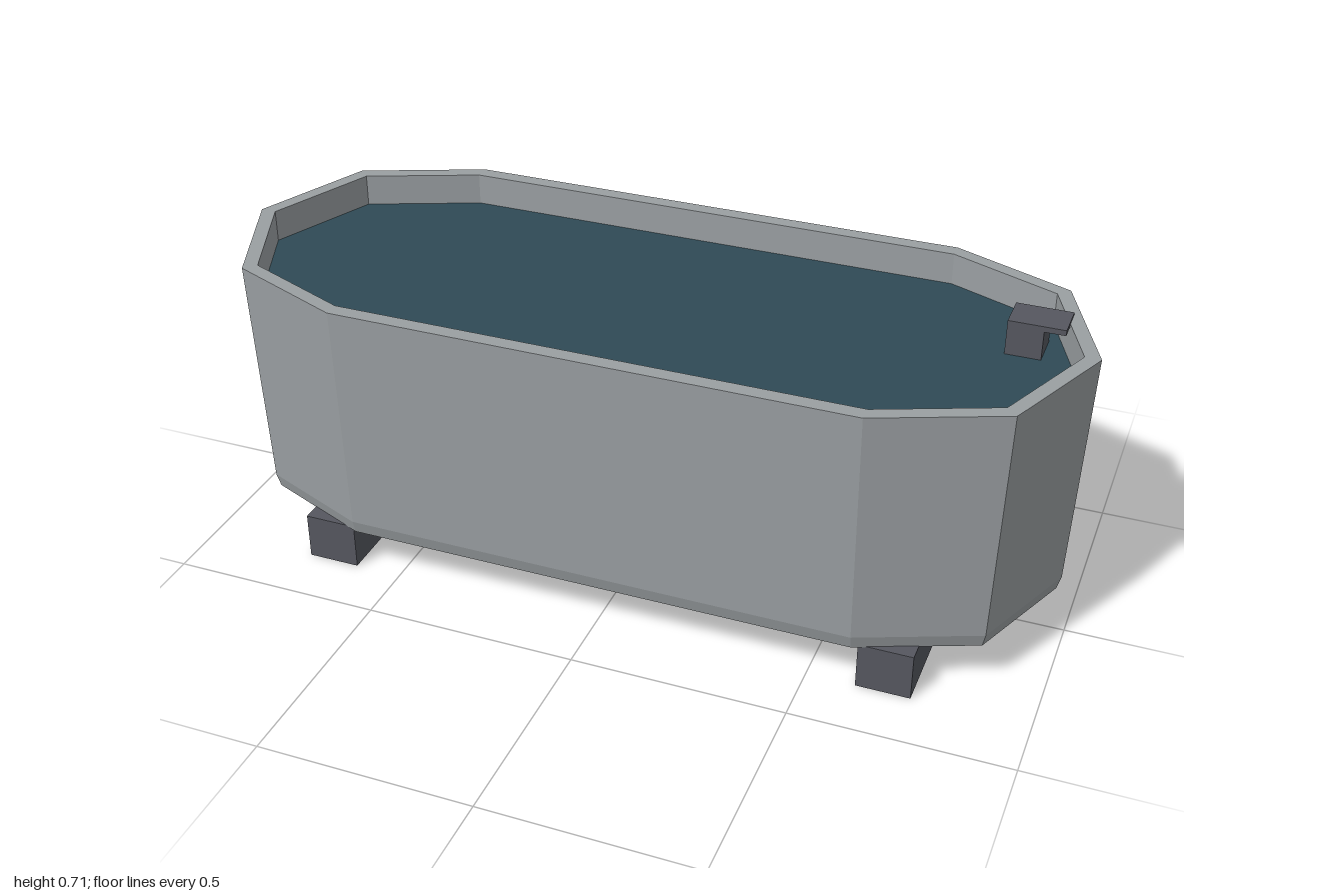
import * as THREE from 'three';

const material = (color) => new THREE.MeshStandardMaterial({ color, flatShading: true });

// Ten-sided stadium outline: two faceted half circles of radius r, centred at x = +-c
function outline(c, r, y) {
  const points = [];
  for (const side of [1, -1]) {
    for (let i = 0; i < 5; i++) {
      const a = -Math.PI / 2 + (i * Math.PI) / 4;
      points.push([side * (c + r * Math.cos(a)), y, side * r * Math.sin(a)]);
    }
  }
  return points;
}

// Skin a sequence of [c, r, y] outlines with flat faces
function loft(sections) {
  const rings = sections.map(([c, r, y]) => outline(c, r, y));
  const positions = [];
  for (let k = 0; k < rings.length - 1; k++) {
    const a = rings[k], b = rings[k + 1];
    const lowerIsPoint = sections[k][1] === 0, upperIsPoint = sections[k + 1][1] === 0;
    for (let i = 0; i < a.length; i++) {
      const j = (i + 1) % a.length;
      if (!lowerIsPoint) positions.push(...a[i], ...b[i], ...a[j]);
      if (!upperIsPoint) positions.push(...a[j], ...b[i], ...b[j]);
    }
  }
  const geometry = new THREE.BufferGeometry();
  geometry.setAttribute('position', new THREE.Float32BufferAttribute(positions, 3));
  geometry.computeVertexNormals();
  return geometry;
}

// Box given by its minimum and maximum corners
function box(min, max) {
  const size = max.map((v, i) => v - min[i]);
  return new THREE.BoxGeometry(...size).translate(...min.map((v, i) => v + size[i] / 2));
}

export function createModel() {
  const group = new THREE.Group();
  const add = (name, geometry, mat) => {
    const mesh = new THREE.Mesh(geometry, mat);
    mesh.name = name;
    group.add(mesh);
  };
  const wall = material(0x9a9fa2);
  const dark = material(0x55575f);
  const water = material(0x2f4a55);

  // Trough: underside, bevelled foot, flared wall, rim and inner wall
  add('trough', loft([
    [0, 0, 0.11],
    [0.6, 0.37, 0.11],
    [0.6, 0.379, 0.143],
    [0.6, 0.4, 0.706],
    [0.6, 0.364, 0.706],
    [0.6, 0.364, 0.61],
  ]), wall);

  // Water surface just below the rim
  add('water', loft([[0.6, 0.364, 0.63], [0, 0, 0.63]]), water);

  // Cross bearers under both ends
  for (const [name, x] of [['leftSkid', 0.674], ['rightSkid', -0.674]]) {
    add(name, box([x - 0.062, 0, -0.358], [x + 0.062, 0.112, 0.358]), dark);
  }

  // Float valve housing with a thin lid reaching over the rim
  add('valveHousing', box([0.783, 0.6, -0.174], [0.863, 0.7, -0.087]), dark);
  add('valveLid', box([0.783, 0.699, -0.174], [0.91, 0.712, -0.087]), dark);

  return group;
}
